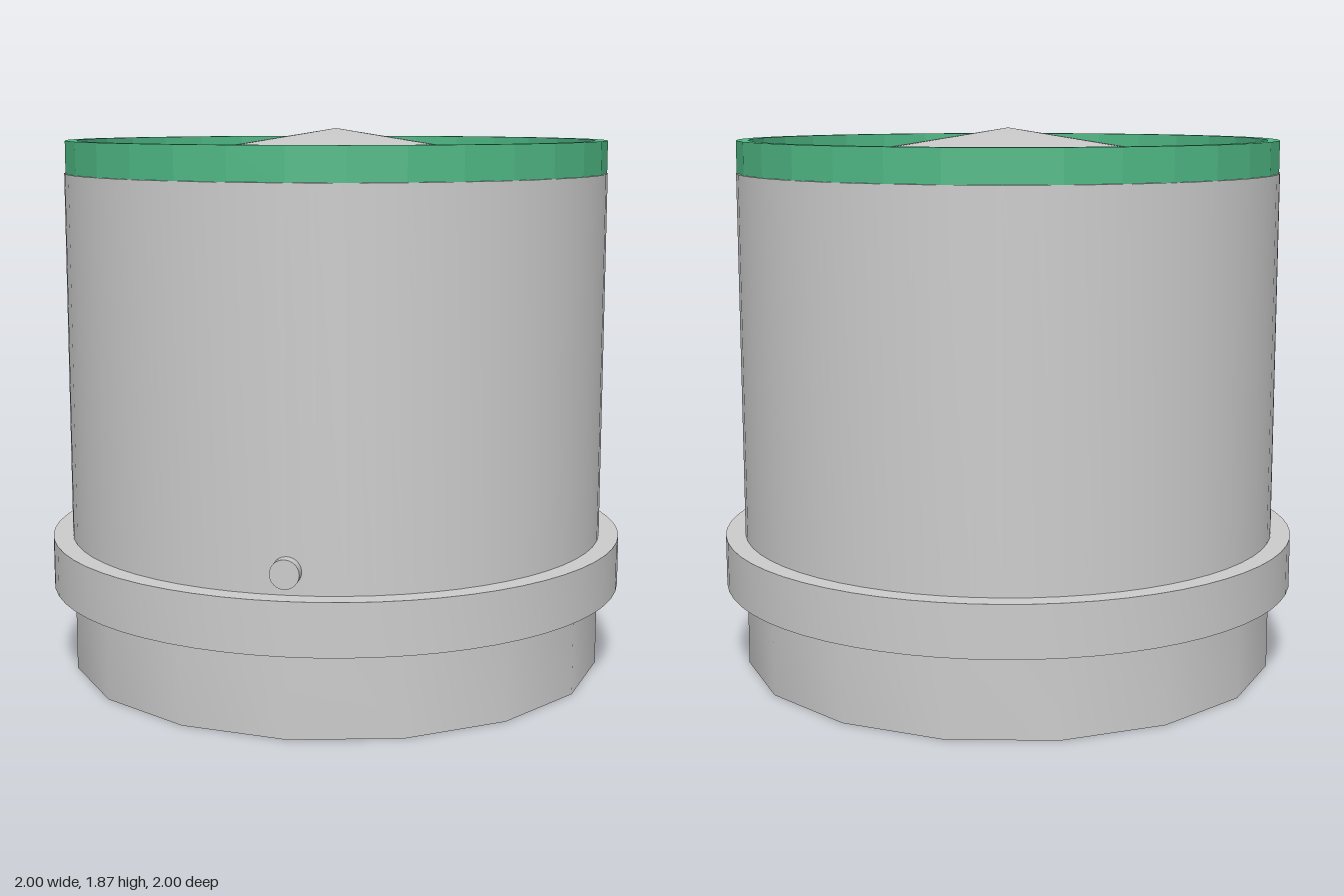
import * as THREE from 'three';
import { toCreasedNormals } from 'three/addons/utils/BufferGeometryUtils.js';

const grey = new THREE.MeshStandardMaterial({ color: 0xcccccc, side: THREE.DoubleSide });
const green = new THREE.MeshStandardMaterial({ color: 0x4fb985, side: THREE.DoubleSide, flatShading: true });

// Turned part from [radius, height] points, listed upwards along the outside
function turned(name, points, sides, material = grey) {
  const profile = points.map(([r, y]) => new THREE.Vector2(r, y));
  const geometry = toCreasedNormals(new THREE.LatheGeometry(profile, sides), 0.5);
  const mesh = new THREE.Mesh(geometry, material);
  mesh.name = name;
  return mesh;
}

export function createModel() {
  const model = new THREE.Group();
  model.name = 'canister';

  // Round body with a shallow conical lid
  model.add(turned('body', [[0.61, 0.45], [0.932, 0.45], [0.932, 1.72], [0, 1.87]], 64));

  // Faceted rim standing above the edge of the lid
  model.add(turned('rim', [[0.89, 1.7], [0.93, 1.7], [0.93, 1.83], [0.89, 1.83], [0.89, 1.7]], 32, green));

  // Collar around the lower body
  model.add(turned('collar', [[0.93, 0.29], [1, 0.29], [1, 0.465], [0.93, 0.465], [0.93, 0.29]], 64));

  // Coarser open skirt the body stands on
  model.add(turned('skirt', [[0.93, 0], [0.93, 0.45]], 16));

  // Recess seen from below: annular floor, bore and its end
  model.add(turned('bore', [[0, 1.7], [0.61, 1.7], [0.61, 0.445], [0.925, 0.445]], 16));

  // Small button on the front
  const button = new THREE.Mesh(new THREE.CylinderGeometry(0.047, 0.047, 0.07, 24), grey);
  button.name = 'button';
  button.rotation.x = Math.PI / 2;
  button.position.set(0, 0.54, 0.935);
  model.add(button);

  return model;
}
